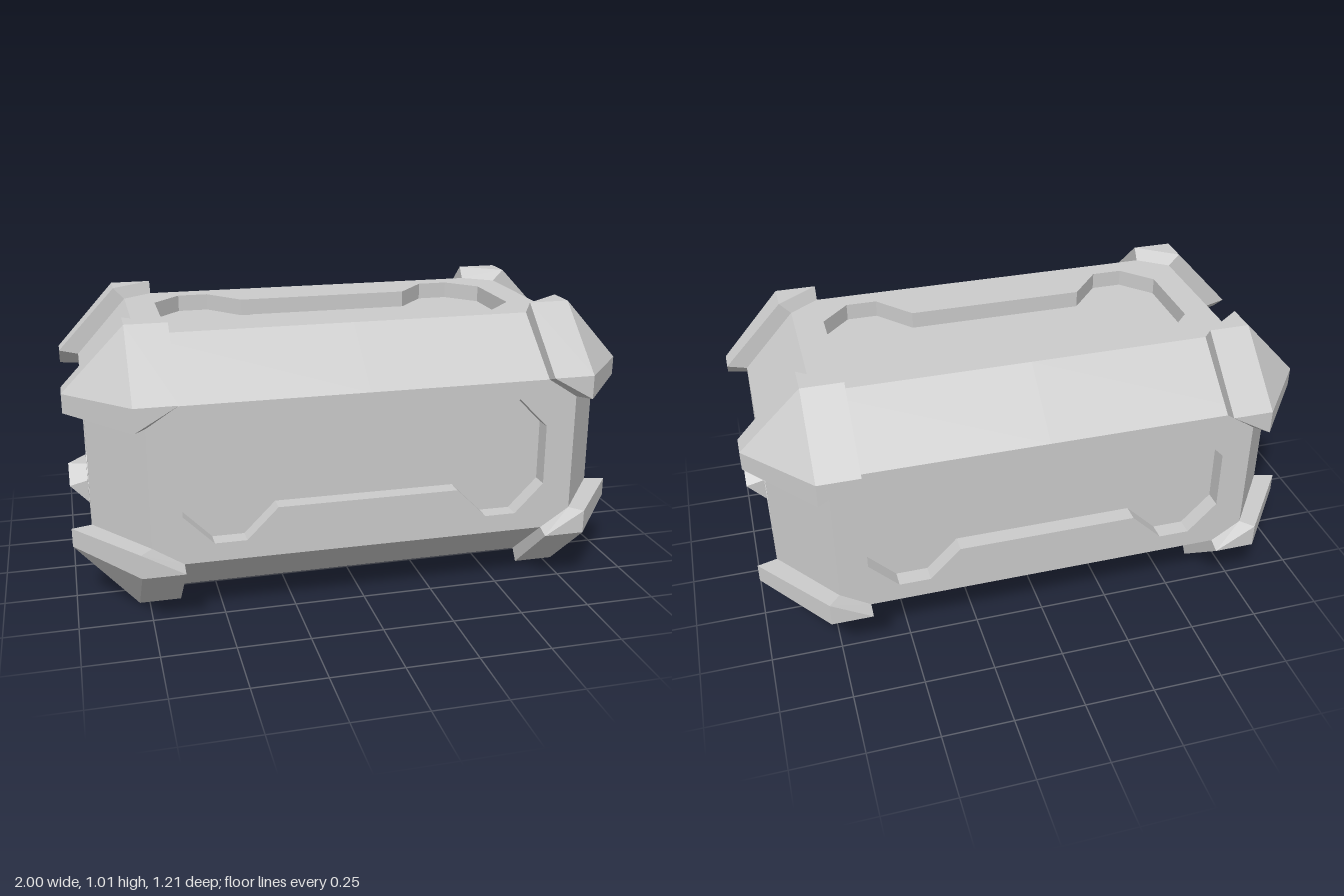
import * as THREE from 'three';

const CENTRE_Y = 0.507;
const RECESS = 0.06;
const material = new THREE.MeshStandardMaterial({ color: 0xcccccc, flatShading: true });

// Polygons of one octant, mirrored by signs, as flat triangles
function octantGeometry(polygons, [sx, sy, sz]) {
  const positions = [];
  for (const polygon of polygons) {
    const p = polygon.map(([x, y, z]) => [x * sx, y * sy, z * sz]);
    if (sx * sy * sz < 0) p.reverse();
    for (let i = 1; i < p.length - 1; i++) positions.push(...p[0], ...p[i], ...p[i + 1]);
  }
  const geometry = new THREE.BufferGeometry();
  geometry.setAttribute('position', new THREE.Float32BufferAttribute(positions, 3));
  geometry.computeVertexNormals();
  return geometry;
}

// Copy of a point with one coordinate replaced
const at = (p, axis, value) => p.map((v, i) => (i === axis ? value : v));

// Corner triangle and the three bevels that run from it to the cut planes
function cornerShell([E, T, F], [cx, cy, cz]) {
  return [
    [E, T, F],
    [F, T, at(T, 0, cx), at(F, 0, cx)],
    [E, F, at(F, 1, cy), at(E, 1, cy)],
    [T, E, at(E, 2, cz), at(T, 2, cz)],
  ];
}

// Lips, sloped strips and end caps that close a guard down onto the body
function guardSides([E, T, F], [e, t, f], [cx, cy, cz]) {
  const Tx = at(T, 0, cx), Tz = at(T, 2, cz), tx = at(t, 0, cx), tz = at(t, 2, cz);
  const Fx = at(F, 0, cx), Fy = at(F, 1, cy), fx = at(f, 0, cx), fy = at(f, 1, cy);
  const Ey = at(E, 1, cy), Ez = at(E, 2, cz), ey = at(e, 1, cy), ez = at(e, 2, cz);
  return [
    [Tx, T, Tz], [F, Fx, Fy], [Ez, E, Ey],
    [Tx, Tz, tz, tx], [Fy, Fx, fx, fy], [Ez, Ey, ey, ez],
    [Fx, Tx, tx, fx], [Ey, Fy, fy, ey], [Tz, Ez, ez, tz],
  ];
}

// Closed outline from its first-quadrant points, mirrored four ways
function mirroredOutline(quarter) {
  const back = [...quarter].reverse();
  return [
    ...quarter,
    ...back.map(([x, y]) => [-x, y]),
    ...quarter.map(([x, y]) => [-x, -y]),
    ...back.map(([x, y]) => [x, -y]),
  ].map(([x, y]) => new THREE.Vector2(x, y));
}

// Flat panel facing +z with an optional sunken area
function panel(name, w, h, distance, recess, rotX, rotY) {
  const group = new THREE.Group();
  group.name = name;
  const shape = new THREE.Shape(mirroredOutline([[w, h]]));
  if (recess) {
    const outline = mirroredOutline(recess);
    shape.holes.push(new THREE.Path(outline));
    const floor = new THREE.Mesh(new THREE.ShapeGeometry(new THREE.Shape(outline)), material);
    floor.name = 'recessFloor';
    floor.position.z = distance - RECESS;
    group.add(floor);
  }
  const plate = new THREE.Mesh(
    new THREE.ExtrudeGeometry(shape, { depth: RECESS, bevelEnabled: false }), material);
  plate.name = 'plate';
  plate.position.z = distance - RECESS;
  group.add(plate);
  group.rotation.set(rotX, rotY, 0);
  return group;
}

export function createModel() {
  const model = new THREE.Group();
  model.name = 'crate';
  const crate = new THREE.Group();
  crate.name = 'crateParts';
  crate.position.y = CENTRE_Y;
  model.add(crate);

  // Corner points on the end, top and front faces
  const body = [[0.93, 0.259, 0.31], [0.745, 0.463, 0.33], [0.745, 0.277, 0.56]];
  const guard = [[1.0, 0.276, 0.33], [0.785, 0.505, 0.36], [0.785, 0.293, 0.605]];
  const cuts = [0.64, 0.209, 0.25];

  const bevelPolygons = cornerShell(body, [0, 0, 0]);
  const guardPolygons = [...cornerShell(guard, cuts), ...guardSides(guard, body, cuts)];

  // Body bevels and corner guards in all eight octants
  for (const sx of [1, -1]) for (const sy of [1, -1]) for (const sz of [1, -1]) {
    const place = (sy > 0 ? 'Top' : 'Bottom') + (sz > 0 ? 'Front' : 'Back') + (sx > 0 ? 'Left' : 'Right');
    for (const [name, polygons] of [['bodyBevel', bevelPolygons], ['cornerGuard', guardPolygons]]) {
      const mesh = new THREE.Mesh(octantGeometry(polygons, [sx, sy, sz]), material);
      mesh.name = name + place;
      crate.add(mesh);
    }
  }

  // Face panels with sunken areas; the base is plain
  const sideRecess = [[0.64, 0.107], [0.537, 0.212], [0.427, 0.212], [0.318, 0.103]];
  const topRecess = [[0.64, 0.15], [0.54, 0.257], [0.43, 0.257], [0.318, 0.127]];
  const endRecess = [[0.245, 0.138], [0.165, 0.203]];
  const q = Math.PI / 2;
  crate.add(
    panel('frontPanel', 0.745, 0.277, 0.56, sideRecess, 0, 0),
    panel('backPanel', 0.745, 0.277, 0.56, sideRecess, 0, 2 * q),
    panel('topPanel', 0.745, 0.33, 0.463, topRecess, -q, 0),
    panel('basePanel', 0.745, 0.33, 0.463, null, q, 0),
    panel('leftEndPanel', 0.31, 0.259, 0.93, endRecess, 0, q),
    panel('rightEndPanel', 0.31, 0.259, 0.93, endRecess, 0, -q),
  );
  return model;
}
